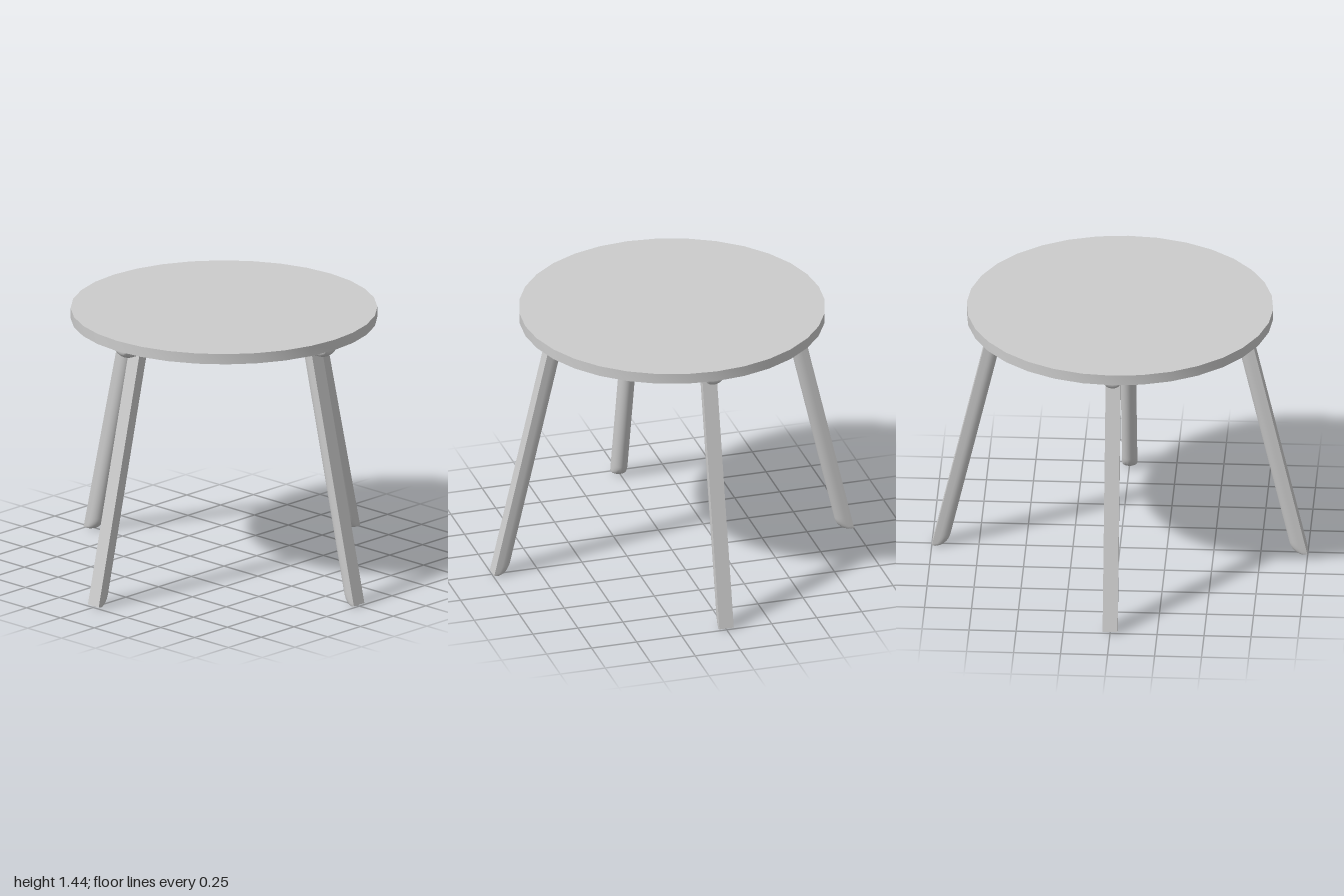
import * as THREE from 'three';
import { toCreasedNormals } from 'three/addons/utils/BufferGeometryUtils.js';

const material = new THREE.MeshStandardMaterial({ color: 0xcccccc });
const HALF_WIDTH = 0.04;

// D-shaped section: flat face at y = 0, rounded towards -y, running along x
function section(x, depth) {
  const straight = depth * 0.4, ring = [[x, 0, -HALF_WIDTH], [x, 0, HALF_WIDTH]];
  const steps = 12;
  for (let i = 0; i <= steps; i++) {
    const a = (Math.PI * i) / steps;
    ring.push([x, -straight - (depth - straight) * Math.sin(a), HALF_WIDTH * Math.cos(a)]);
  }
  return ring;
}

// Lofts a closed beam through stations of [x, depth]
function beam(stations) {
  const rings = stations.map(([x, d]) => section(x, d));
  const n = rings[0].length, index = [];
  for (let i = 0; i < rings.length - 1; i++) {
    for (let j = 0; j < n; j++) {
      const k = (j + 1) % n;
      const a = i * n + j, b = i * n + k, c = b + n, d = a + n;
      index.push(a, b, c, a, c, d);
    }
  }
  const last = (rings.length - 1) * n;
  for (let j = 1; j < n - 1; j++) {
    index.push(0, j + 1, j, last, last + j, last + j + 1);
  }
  const geometry = new THREE.BufferGeometry();
  geometry.setAttribute('position', new THREE.Float32BufferAttribute(rings.flat(2), 3));
  geometry.setIndex(index);
  return toCreasedNormals(geometry, 0.7);
}

// Stations of an end that rounds over from full depth to a thin tip
function roundedEnd(tipX, length, depth, tipDepth) {
  const stations = [], steps = 7;
  for (let i = 0; i <= steps; i++) {
    const a = (Math.PI / 2) * (i / steps);
    stations.push([
      tipX - length * (1 - Math.sin(a)),
      tipDepth + (depth - tipDepth) * Math.cos(a),
    ]);
  }
  return stations;
}

export function createModel() {
  const model = new THREE.Group();
  const add = (name, geometry, parent = model) => {
    const mesh = new THREE.Mesh(geometry, material);
    mesh.name = name;
    parent.add(mesh);
    return mesh;
  };

  // Round flat top
  const profile = [[0, 1.388], [0.815, 1.388], [0.815, 1.445], [0, 1.445]]
    .map(([x, y]) => new THREE.Vector2(x, y));
  add('top', toCreasedNormals(new THREE.LatheGeometry(profile, 32), 0.7));

  // Two crossed rails under the top
  const end = roundedEnd(0.79, 0.075, 0.058, 0.015);
  const start = end.map(([x, d]) => [-x, d]).reverse();
  const railGeometry = beam([...start, ...end]);
  for (let i = 0; i < 2; i++) {
    const rail = add('rail', railGeometry);
    rail.position.y = 1.39;
    rail.rotation.y = (i * Math.PI) / 2;
  }

  // Four splayed legs, flat face outwards, toes rounded on the inside
  const legGeometry = beam([[0, 0.083], ...roundedEnd(1.398, 0.075, 0.083, 0.03)]);
  for (let i = 0; i < 4; i++) {
    const pivot = new THREE.Group();
    pivot.name = 'legPivot';
    pivot.rotation.y = (i * Math.PI) / 2;
    model.add(pivot);
    const leg = add('leg', legGeometry, pivot);
    leg.position.set(0.682, 1.37, 0);
    leg.rotation.z = THREE.MathUtils.degToRad(-76.9);
  }
  return model;
}
